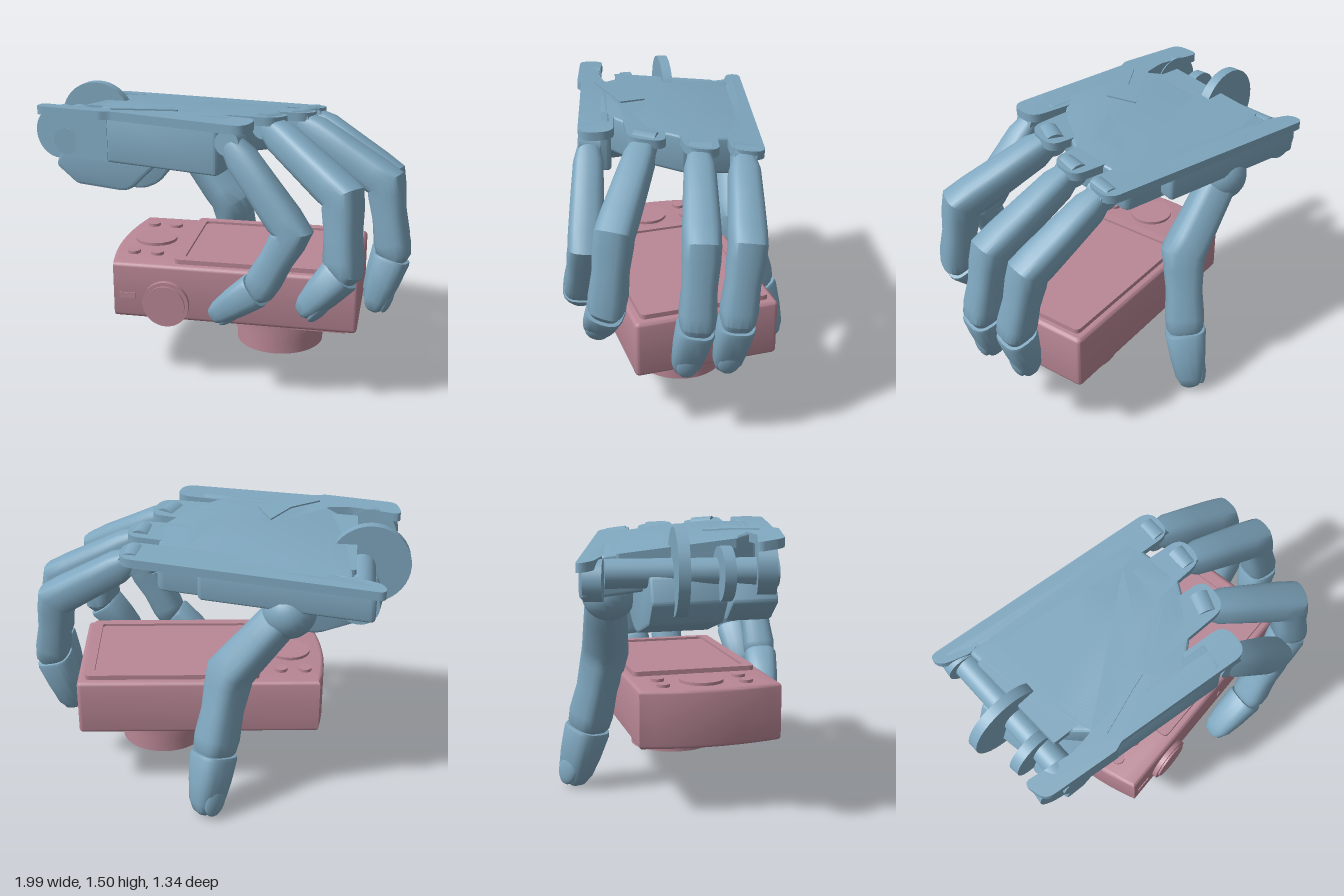
import * as THREE from 'three';
import { toCreasedNormals } from 'three/addons/utils/BufferGeometryUtils.js';

const V = (a) => new THREE.Vector3(...a);
const blue = new THREE.MeshStandardMaterial({ color: 0x7fa7bf });
const pink = new THREE.MeshStandardMaterial({ color: 0xb98796 });

function add(parent, name, geo, mat, pos = [0, 0, 0], rot = [0, 0, 0]) {
  const m = new THREE.Mesh(geo, mat);
  m.name = name;
  m.position.set(...pos);
  m.rotation.set(...rot);
  parent.add(m);
  return m;
}

// Closed polygon with rounded corners, each point being [x, y, radius]
function roundedPoly(pts) {
  const s = new THREE.Shape();
  pts.forEach(([x, y, r = 0.012], i) => {
    const p = new THREE.Vector2(x, y);
    const cut = (q) => {
      const d = new THREE.Vector2(q[0], q[1]).sub(p);
      return d.clone().setLength(Math.min(r, d.length() * 0.49)).add(p);
    };
    const a = cut(pts[(i + pts.length - 1) % pts.length]);
    const b = cut(pts[(i + 1) % pts.length]);
    if (i) s.lineTo(a.x, a.y); else s.moveTo(a.x, a.y);
    s.quadraticCurveTo(x, y, b.x, b.y);
  });
  s.closePath();
  return s;
}

// Flat slab drawn in x/z and extruded downwards from y = 0
function slab(shape, depth, bevel = 0) {
  const g = new THREE.ExtrudeGeometry(shape, {
    depth: depth - 2 * bevel, bevelEnabled: bevel > 0, bevelSize: bevel,
    bevelThickness: bevel, bevelOffset: -bevel, bevelSegments: 3, curveSegments: 10,
  });
  return g.translate(0, 0, bevel).rotateX(Math.PI / 2);
}

// Slope of the back of the hand: y rises towards the front
function slope(g) {
  const p = g.attributes.position;
  for (let i = 0; i < p.count; i++) {
    p.setY(i, p.getY(i) + Math.min(1.458, 1.415 + 0.12 * p.getZ(i)));
  }
  g.computeVertexNormals();
  return toCreasedNormals(g, 0.5);
}

// Loft of rounded-square sections; each station is [point, width, height]
function loft(stations, side) {
  const N = 20, pos = [], idx = [], last = stations.length - 1;
  const P = stations.map((s) => s[0]);
  stations.forEach(([p, w, h], j) => {
    const d0 = P[Math.max(j, 1)].clone().sub(P[Math.max(j, 1) - 1]).normalize();
    const k = Math.min(j, last - 1);
    const d1 = P[k + 1].clone().sub(P[k]).normalize();
    const t = d0.add(d1).normalize();
    const s = side.clone().addScaledVector(t, -side.dot(t)).normalize();
    const up = t.clone().cross(s);
    for (let i = 0; i < N; i++) {
      const a = (i / N) * Math.PI * 2, c = Math.cos(a), q = Math.sin(a);
      const v = p.clone()
        .addScaledVector(s, Math.sign(c) * Math.abs(c) ** 0.68 * w / 2)
        .addScaledVector(up, Math.sign(q) * Math.abs(q) ** 0.68 * h / 2);
      pos.push(v.x, v.y, v.z);
    }
  });
  for (let j = 0; j < last; j++) for (let i = 0; i < N; i++) {
    const a = j * N + i, b = j * N + (i + 1) % N;
    idx.push(a, b, a + N, b, b + N, a + N);
  }
  const c = last * N + N;
  pos.push(...P[0].toArray(), ...P[last].toArray());
  for (let i = 0; i < N; i++) {
    const n = (i + 1) % N;
    idx.push(c, n, i, c + 1, last * N + i, last * N + n);
  }
  const g = new THREE.BufferGeometry();
  g.setAttribute('position', new THREE.Float32BufferAttribute(pos, 3));
  g.setIndex(idx);
  return toCreasedNormals(g, 0.6);
}

// One finger: base joint, bent two-part shell, separate tip with a nail
function finger(parent, name, pts, size, sideHint) {
  const g = new THREE.Group();
  g.name = name;
  const [A, B, C, D] = pts.map(V);
  const side = sideHint ? V(sideHint).normalize()
    : B.clone().sub(A).cross(C.clone().sub(B)).normalize();
  const at = (p, q, f) => p.clone().lerp(q, f);
  add(g, 'shell', loft([
    [A, 0.6 * size, 0.6 * size], [at(A, B, 0.18), 0.85 * size, 0.88 * size],
    [at(A, B, 0.5), 0.93 * size, 0.93 * size], [at(A, B, 0.86), size, size],
    [B, size, 1.08 * size], [at(B, C, 0.16), size, size],
    [at(B, C, 0.5), 0.92 * size, 0.9 * size], [at(B, C, 0.85), size, 0.98 * size],
    [C, 0.94 * size, 0.94 * size], [at(C, D, 0.08), 0.8 * size, 0.8 * size],
  ], side), blue);
  add(g, 'fingertip', loft([
    [at(C, D, 0.07), 0.98 * size, 0.98 * size], [at(C, D, 0.12), 1.03 * size, 1.03 * size],
    [at(C, D, 0.5), 0.95 * size, 0.9 * size], [at(C, D, 0.8), 0.82 * size, 0.72 * size],
    [at(C, D, 0.95), 0.6 * size, 0.5 * size], [D, 0.36 * size, 0.28 * size],
  ], side), blue);
  const t = D.clone().sub(C).normalize();
  const s = side.clone().addScaledVector(t, -side.dot(t)).normalize();
  const up = t.clone().cross(s);
  const nail = add(g, 'nail', new THREE.SphereGeometry(1, 20, 12), blue);
  nail.scale.set(0.31 * size, 0.14 * size, 0.45 * size);
  nail.position.copy(at(C, D, 0.72)).addScaledVector(up, 0.29 * size);
  nail.quaternion.setFromRotationMatrix(new THREE.Matrix4().makeBasis(s, up, s.clone().cross(up)));
  const pin = add(g, 'baseJoint', new THREE.CylinderGeometry(0.35 * size, 0.35 * size, 0.6 * size, 20), blue);
  pin.position.copy(A);
  pin.quaternion.setFromUnitVectors(new THREE.Vector3(0, 1, 0), side);
  parent.add(g);
}

function makeHand() {
  const hand = new THREE.Group();
  hand.name = 'hand';
  // Back plate with a rounded lobe over each finger and two wrist prongs
  const plate = roundedPoly([
    [-0.8, -0.69, 0.05], [0.5, -0.34, 0.08], [0.46, -0.17, 0.08], [0.15, -0.245, 0.03],
    [0.15, -0.195, 0.03], [0.47, -0.11, 0.08], [0.43, 0.055, 0.08], [0.09, 0.01, 0.03],
    [0.09, 0.06, 0.03], [0.35, 0.13, 0.08], [0.29, 0.31, 0.08], [-0.22, 0.22],
    [-0.22, 0.245], [0.21, 0.36, 0.08], [0.17, 0.535, 0.08], [-0.56, 0.345], [-0.61, 0.355],
    [-0.99, 0.25, 0.05], [-1, 0.11, 0.05], [-0.74, 0.2, 0.03], [-0.6, 0.2, 0.02],
    [-0.62, 0.13], [-0.76, 0.1], [-0.68, -0.47], [-0.54, -0.47, 0.02], [-0.54, -0.54],
    [-0.66, -0.535], [-0.8, -0.61, 0.05],
  ]);
  add(hand, 'backPlate', slope(slab(plate, 0.045)), blue);
  const flap = roundedPoly([[-0.58, 0.27], [-0.41, 0.19], [-0.29, 0.05], [-0.23, 0.21], [-0.36, 0.23]]);
  add(hand, 'plateFlap', slope(slab(flap, 0.03).translate(0, 0.008, 0)), blue);
  // Palm body and the deeper rails along its two long edges
  const palm = roundedPoly([[-0.66, -0.56, 0.04], [0.3, -0.31, 0.04], [0.28, 0.02], [0.1, 0.24],
    [-0.1, 0.36], [-0.58, 0.25], [-0.7, 0.08]]);
  add(hand, 'palmBody', slope(slab(palm, 0.2, 0.02)), blue);
  const frontRail = roundedPoly([[-0.6, 0.2], [-0.3, 0.25], [0.07, 0.34, 0.03], [0.03, 0.495, 0.03], [-0.58, 0.335]]);
  add(hand, 'frontRail', slope(slab(frontRail, 0.27, 0.015)), blue);
  const backRail = roundedPoly([[-0.76, -0.67, 0.04], [0.1, -0.44, 0.03], [0.08, -0.35], [-0.56, -0.49], [-0.76, -0.6, 0.03]]);
  add(hand, 'backRail', slope(slab(backRail, 0.18, 0.025)), blue);

  // Wrist hinge: side cheeks, axle and two thin discs
  const wrist = new THREE.Group();
  wrist.name = 'wrist';
  const disc = (name, r, h, pos, yaw = -0.27) => {
    const g = new THREE.CylinderGeometry(r, r, h, 40).rotateX(Math.PI / 2);
    add(wrist, name, g, blue, pos, [0, yaw, 0]);
  };
  disc('largeDisc', 0.21, 0.055, [-0.79, 1.28, -0.2], -0.12);
  disc('smallDisc', 0.13, 0.055, [-0.83, 1.27, 0.01], -0.06);
  disc('axle', 0.07, 0.82, [-0.76, 1.27, -0.13], -0.15);
  disc('frontCheek', 0.135, 0.09, [-0.86, 1.305, 0.205]);
  disc('backCheek', 0.1, 0.09, [-0.69, 1.24, -0.585]);
  add(wrist, 'frontCheekArm', new THREE.BoxGeometry(0.32, 0.24, 0.09), blue, [-0.72, 1.31, 0.25], [0, -0.27, 0]);
  const block = (name, pts, depth, z) => {
    const g = new THREE.ExtrudeGeometry(roundedPoly(pts), {
      depth, bevelEnabled: true, bevelSize: 0.015, bevelThickness: 0.015, bevelSegments: 2 });
    add(wrist, name, toCreasedNormals(g, 0.5), blue, [0, 0, z]);
  };
  block('frontWristBlock', [[-0.87, 1.14], [-0.77, 1.05], [-0.5, 1.02, 0.05], [-0.3, 1.22], [-0.8, 1.28]], 0.2, 0.05);
  block('thumbMount', [[-0.84, 1.14], [-0.77, 1.04], [-0.5, 0.955, 0.06], [-0.4, 1.0, 0.04], [-0.24, 1.2], [-0.8, 1.25]], 0.34, -0.33);
  hand.add(wrist);

  // Fingers from front to back, then the thumb
  finger(hand, 'littleFinger', [[0.09, 1.36, 0.46], [0.42, 0.95, 0.57], [0.26, 0.65, 0.57], [0.01, 0.45, 0.52]], 0.18);
  finger(hand, 'ringFinger', [[0.24, 1.39, 0.21], [0.65, 1.12, 0.48], [0.67, 0.75, 0.53], [0.47, 0.51, 0.54]], 0.19);
  finger(hand, 'middleFinger', [[0.38, 1.36, -0.03], [0.84, 1.09, 0.11], [0.9, 0.72, 0.15], [0.81, 0.4, 0.185]], 0.185);
  finger(hand, 'indexFinger', [[0.42, 1.33, -0.25], [0.84, 1.06, -0.12], [0.89, 0.7, -0.06], [0.79, 0.36, -0.04]], 0.185);
  finger(hand, 'thumb', [[-0.4, 1.2, -0.47], [-0.07, 0.77, -0.42], [0.01, 0.36, -0.5], [0.065, 0.005, -0.59]], 0.22, [-0.8, 0, 0.6]);
  add(hand, 'thumbBall', new THREE.SphereGeometry(0.14, 24, 16), blue, [-0.36, 1.13, -0.45]);
  return hand;
}

function makeCamera() {
  const cam = new THREE.Group();
  cam.name = 'camera';
  // Body with one bowed end
  const body = new THREE.Shape();
  body.moveTo(-0.55, -0.34);
  body.lineTo(0.715, -0.34);
  body.quadraticCurveTo(0.74, -0.34, 0.74, -0.315);
  body.lineTo(0.74, 0.385);
  body.quadraticCurveTo(0.74, 0.41, 0.715, 0.41);
  body.lineTo(-0.55, 0.41);
  body.quadraticCurveTo(-0.65, 0.035, -0.55, -0.34);
  add(cam, 'body', toCreasedNormals(slab(body, 0.305, 0.02), 0.6), pink, [0, 0.66, 0]);

  // Screen frame and screen
  const rect = (x0, z0, x1, z1, r) => roundedPoly([[x0, z0, r], [x1, z0, r], [x1, z1, r], [x0, z1, r]]);
  const frame = rect(-0.23, -0.3, 0.7, 0.37, 0.03);
  frame.holes.push(rect(-0.18, -0.25, 0.65, 0.32, 0.02));
  add(cam, 'screenFrame', slab(frame, 0.03), pink, [0, 0.685, 0]);
  add(cam, 'screen', new THREE.BoxGeometry(0.84, 0.02, 0.58), pink, [0.235, 0.662, 0.035]);

  // Top controls
  const knob = (name, r, h, pos, rot) => add(cam, name, new THREE.CylinderGeometry(r, r, h, 36), pink, pos, rot);
  knob('topDial', 0.115, 0.03, [-0.41, 0.661, 0.02]);
  for (const x of [-0.48, -0.35]) for (const z of [-0.2, 0.24]) knob('button', 0.035, 0.03, [x, 0.661, z]);

  // Front dial, slots and bottom door
  knob('frontDial', 0.125, 0.03, [-0.265, 0.45, 0.42], [Math.PI / 2, 0, 0]);
  knob('frontDialCap', 0.105, 0.04, [-0.265, 0.45, 0.425], [Math.PI / 2, 0, 0]);
  add(cam, 'frontWindow', new THREE.BoxGeometry(0.09, 0.03, 0.01), pink, [-0.475, 0.48, 0.41]);
  add(cam, 'frontSlot', new THREE.BoxGeometry(0.015, 0.04, 0.01), pink, [0.21, 0.48, 0.41]);
  add(cam, 'bottomDoor', new THREE.BoxGeometry(0.28, 0.03, 0.08), pink, [0.54, 0.352, 0.33]);

  // Stepped lens, with a square opening in the last ring
  for (const [r, y0, y1] of [[0.335, 0.325, 0.37], [0.28, 0.27, 0.33], [0.25, 0.225, 0.28], [0.22, 0.18, 0.23]]) {
    add(cam, 'lensRing', new THREE.CylinderGeometry(r, r, y1 - y0, 48), pink, [0.295, (y0 + y1) / 2, 0.04]);
  }
  const end = new THREE.Shape().absarc(0, 0, 0.237, 0, Math.PI * 2);
  end.holes.push(rect(-0.085, -0.065, 0.085, 0.065, 0.015));
  const endGeo = new THREE.ExtrudeGeometry(end, { depth: 0.09, bevelEnabled: false, curveSegments: 24 });
  add(cam, 'lensEnd', toCreasedNormals(endGeo.rotateX(Math.PI / 2), 0.5), pink, [0.295, 0.23, 0.04]);
  add(cam, 'lensShutter', new THREE.BoxGeometry(0.09, 0.03, 0.07), pink, [0.295, 0.172, 0.04]);
  return cam;
}

export function createModel() {
  const model = new THREE.Group();
  model.name = 'handHoldingCamera';
  model.add(makeHand(), makeCamera());
  return model;
}
